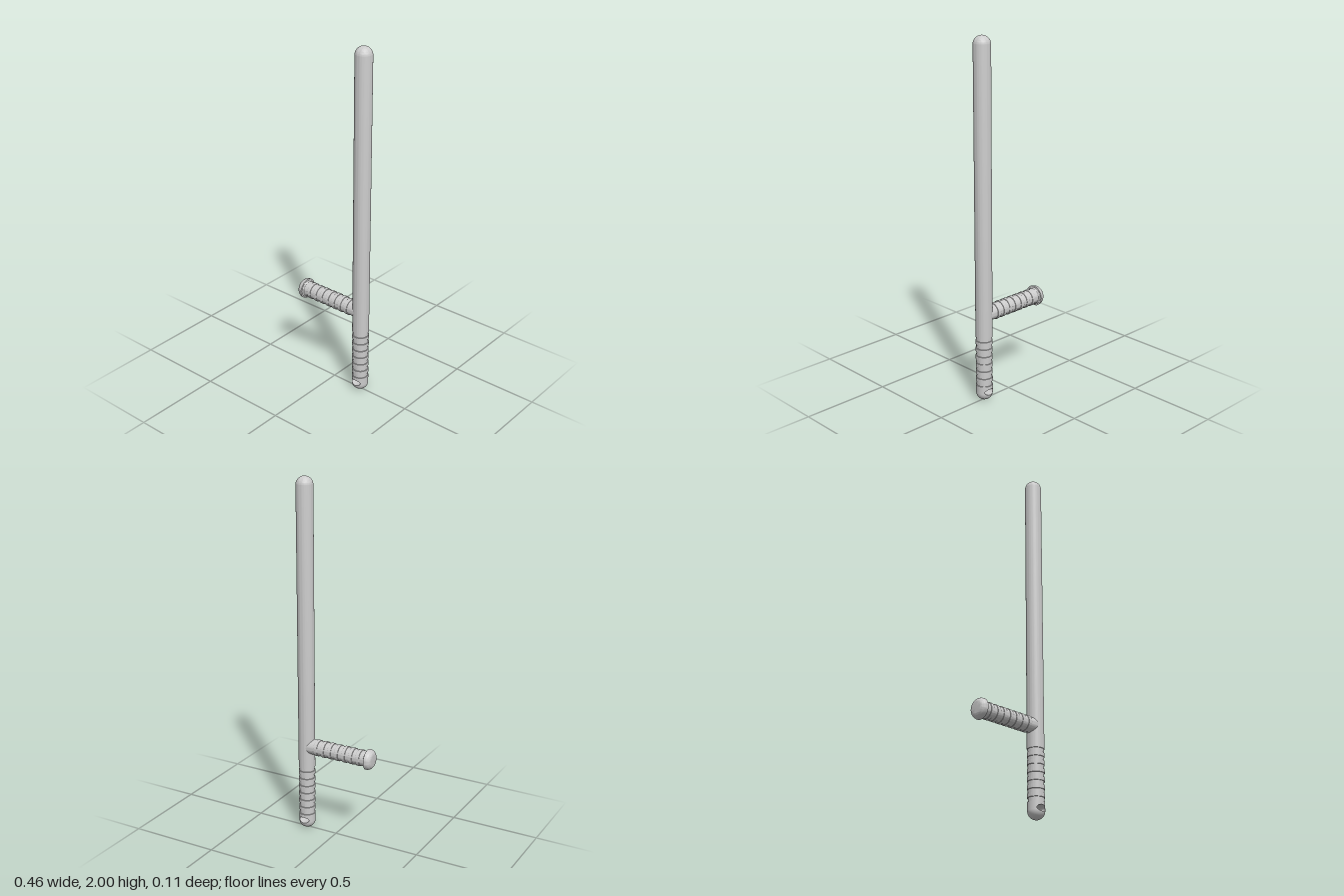
import * as THREE from 'three';
import { toCreasedNormals } from 'three/addons/utils/BufferGeometryUtils.js';

const R = 0.046;        // shaft radius
const CORE = 0.0425;    // radius in the grooves and along the side handle
const AXIS_X = 0.185;   // shaft axis
const BUTT_TOP = 0.091; // where the pierced end meets the grip
const PITCH = 0.0436, BAND = 0.0215;
const SEG = 48;
const material = new THREE.MeshStandardMaterial({ color: 0xcccccc });

function mesh(name, geometry) {
  const m = new THREE.Mesh(geometry, material);
  m.name = name;
  return m;
}

function lathe(name, pairs) {
  const geometry = new THREE.LatheGeometry(pairs.map(([r, y]) => new THREE.Vector2(r, y)), SEG);
  return mesh(name, toCreasedNormals(geometry, 0.5));
}

// Quarter arc from (r, y) on the outside to the axis side, sampled as [radius, height]
function arc(r, y, rx, ry, from, to, n = 12) {
  return Array.from({ length: n + 1 }, (_, i) => {
    const a = from + (to - from) * i / n;
    return [Math.max(0, r + rx * Math.cos(a)), y + ry * Math.sin(a)];
  });
}

// Long smooth shaft with a domed tip
function makeShaft() {
  return lathe('shaft', [[R, 0.375], ...arc(0, 2 - R, R, R, 0, Math.PI / 2, 16)]);
}

// Lower grip: seven shallow grooves cut into the shaft
function makeGrip() {
  const p = [];
  for (let i = 6; i >= 0; i--) {
    const top = 0.375 - i * PITCH, bottom = i === 6 ? BUTT_TOP : top - BAND;
    p.push([R, bottom], [CORE, bottom + 0.001], [CORE, top - 0.001], [R, top]);
  }
  return lathe('grip', p);
}

// Rounded butt pierced front to back by an oval lanyard hole
function makeButt() {
  const group = new THREE.Group();
  group.name = 'butt';
  const quarter = R * Math.PI / 2, length = quarter + BUTT_TOP - R;
  const hole = { y: 0.055, rx: 0.03, ry: 0.017 };
  const side = SEG / 2, n = side * 4, rings = 10;

  // Unrolled (angle, distance from the pole) to a point on the capsule end
  const surface = (angle, v) => {
    const bend = Math.min(v / R, Math.PI / 2);
    const r = R * Math.sin(bend);
    const y = v < quarter ? R - R * Math.cos(bend) : R + v - quarter;
    return [r * Math.sin(angle), y, r * Math.cos(angle)];
  };
  const toArc = (y) => (y < R ? R * Math.acos(1 - y / R) : quarter + y - R);

  const pos = [], normal = [], index = [], rim = [];
  for (let i = 0; i <= n; i++) {
    // Walk counter-clockwise round a square, pairing it with the oval
    const k = Math.floor((i % n) / side), f = 2 * (i % side) / side - 1;
    const [s, t] = [[1, f], [-f, 1], [-1, -f], [f, -1]][k];
    const a = Math.atan2(t, s);
    const x = hole.rx * Math.cos(a), y = hole.y + hole.ry * Math.sin(a);
    const r = y < R ? Math.sqrt(R * R - (R - y) ** 2) : R;
    const inner = [Math.asin(x / r), toArc(y)];
    const outer = [s * Math.PI / 2, (t + 1) / 2 * length];
    for (let j = 0; j <= rings; j++) {
      const w = j / rings;
      const q = surface(inner[0] + (outer[0] - inner[0]) * w, inner[1] + (outer[1] - inner[1]) * w);
      if (j === 0) rim.push(q);
      pos.push(...q);
      normal.push(q[0] / R, Math.min(0, q[1] - R) / R, q[2] / R);
      if (i < n && j < rings) {
        const c = i * (rings + 1) + j, d = c + rings + 1;
        index.push(c, c + 1, d + 1, c, d + 1, d);
      }
    }
  }
  const shell = new THREE.BufferGeometry();
  shell.setAttribute('position', new THREE.Float32BufferAttribute(pos, 3));
  shell.setAttribute('normal', new THREE.Float32BufferAttribute(normal, 3));
  shell.setIndex(index);
  const front = mesh('buttFront', shell), back = mesh('buttBack', shell);
  back.rotation.y = Math.PI;

  // Inner wall of the hole
  const wallPos = [], wallIndex = [];
  rim.forEach(([x, y, z], i) => {
    wallPos.push(x, y, z, x, y, -z);
    const c = 2 * i;
    if (i < n) wallIndex.push(c, c + 3, c + 1, c, c + 2, c + 3);
  });
  const wall = new THREE.BufferGeometry();
  wall.setAttribute('position', new THREE.Float32BufferAttribute(wallPos, 3));
  wall.setIndex(wallIndex);
  wall.computeVertexNormals();

  group.add(front, back, mesh('lanyardHole', wall));
  return group;
}

// Side handle: domed knob, then a round bar with seven raised bands
function makeHandle() {
  const group = new THREE.Group();
  group.name = 'sideHandle';
  const start = -0.232;
  const knob = lathe('knob', [
    [0, 0], ...arc(0.03, 0.034, 0.027, 0.034, -Math.PI / 2, 0),
    [0.057, 0.035], [0.049, 0.036], [0.045, 0.039], [CORE, 0.043],
  ]);
  const p = [[CORE, 0.036]];
  for (let i = 0; i < 7; i++) {
    const mid = -0.153 + i * PITCH - start, h = BAND / 2;
    p.push([CORE, mid - h], [R - 0.001, mid - h + 0.0005], [R, mid - h + 0.002],
      [R, mid + h - 0.002], [R - 0.001, mid + h - 0.0005], [CORE, mid + h]);
  }
  p.push([CORE, AXIS_X - start]);
  group.add(knob, lathe('handleBar', p));
  group.rotation.z = -Math.PI / 2;
  group.position.set(start, 0.5, 0);
  return group;
}

export function createModel() {
  const model = new THREE.Group();
  model.name = 'sideHandleBaton';
  const staff = new THREE.Group();
  staff.name = 'staff';
  staff.position.x = AXIS_X;
  staff.add(makeShaft(), makeGrip(), makeButt());
  model.add(staff, makeHandle());
  return model;
}
